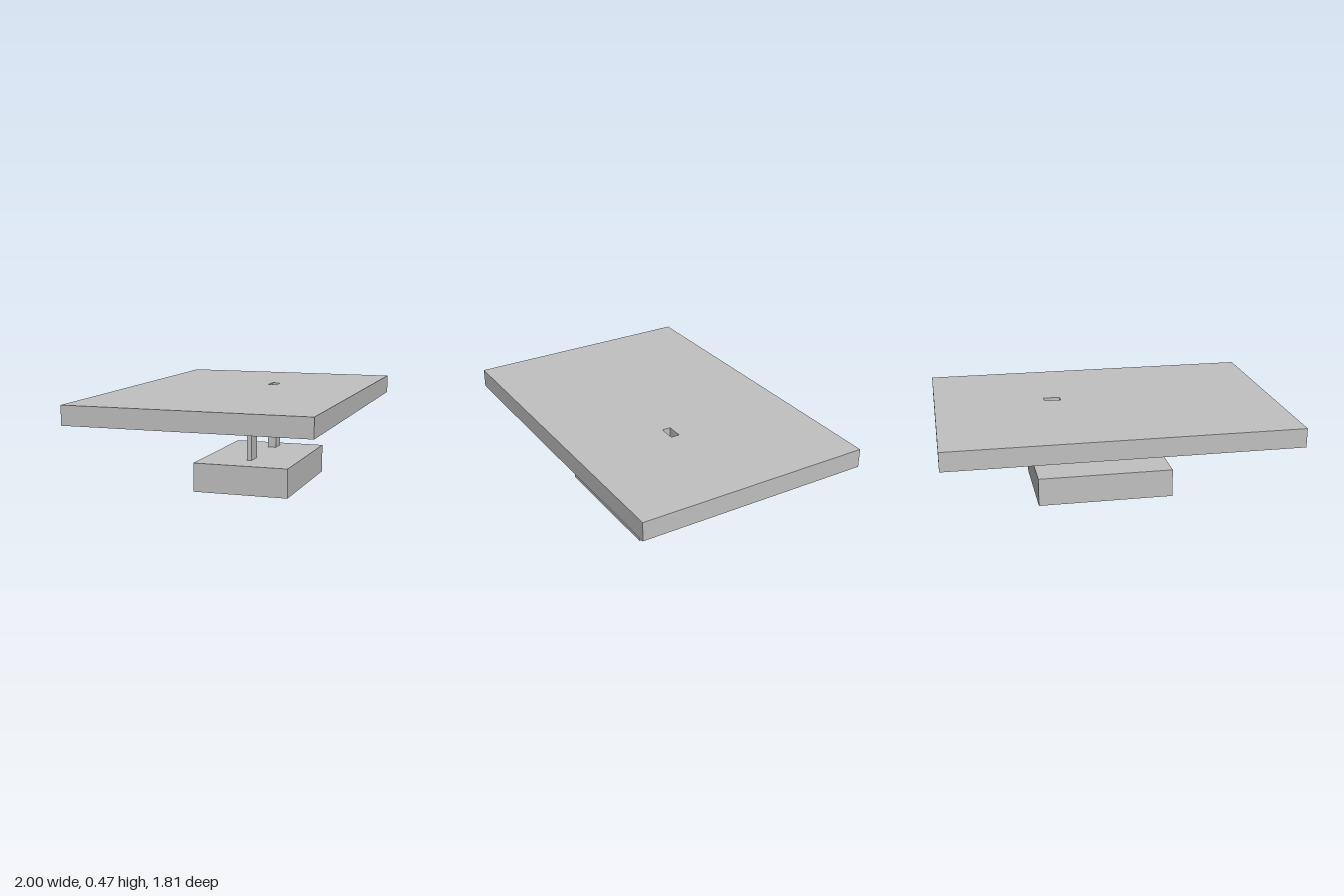
import * as THREE from 'three';

// Rectangle outline centred on the origin, or at (cx, cy) for holes
function rectPath(path, w, d, cx = 0, cy = 0) {
  path.moveTo(cx - w / 2, cy - d / 2);
  path.lineTo(cx + w / 2, cy - d / 2);
  path.lineTo(cx + w / 2, cy + d / 2);
  path.lineTo(cx - w / 2, cy + d / 2);
  path.closePath();
  return path;
}

// Horizontal slab with holes, its underside at y = 0
function slab(w, d, h, holes) {
  const shape = rectPath(new THREE.Shape(), w, d);
  shape.holes.push(...holes);
  const geo = new THREE.ExtrudeGeometry(shape, { depth: h, bevelEnabled: false, curveSegments: 16 });
  return geo.rotateX(-Math.PI / 2);
}

export function createModel() {
  const grey = new THREE.MeshStandardMaterial({ color: 0xc0c0c0 });
  grey.name = 'grey';

  const model = new THREE.Group();
  model.name = 'raisedPlate';
  const turned = new THREE.Group();
  turned.name = 'turnedAssembly';
  turned.rotation.y = Math.PI / 6;
  model.add(turned);

  const add = (name, geo, x, y, z) => {
    const mesh = new THREE.Mesh(geo, grey);
    mesh.name = name;
    mesh.position.set(x, y, z);
    turned.add(mesh);
  };

  const baseY = 0.14, plateY = 0.376, plateTop = 0.467;
  const baseW = 0.669, baseD = 0.467, baseX = 0.022, rowZ = 0.081;
  const socketDepth = 0.045;
  const slotPost = { name: 'thickPost', x: 0.252, w: 0.08, d: 0.042 };
  const plainPost = { name: 'thinPost', x: -0.127, w: 0.084, d: 0.024 };

  // Top plate with a slot above the thick post
  const slot = rectPath(new THREE.Path(), slotPost.w, slotPost.d, slotPost.x, -rowZ);
  add('topPlate', slab(1.654, 1.135, plateTop - plateY, [slot]), 0, plateY, 0);

  // Two posts between base and plate
  for (const p of [slotPost, plainPost]) {
    const h = plateY - baseY;
    add(p.name, new THREE.BoxGeometry(p.w, h, p.d), p.x, baseY + h / 2, rowZ);
  }

  // Base: underside layer with a 3 by 2 grid of round sockets, closed by a solid layer
  const sockets = [];
  for (const i of [-1, 0, 1]) {
    for (const j of [-0.5, 0.5]) {
      sockets.push(new THREE.Path().absarc(i * baseW / 3, j * baseD / 2, 0.047, 0, Math.PI * 2));
    }
  }
  add('baseSocketLayer', slab(baseW, baseD, socketDepth, sockets), baseX, 0, rowZ);
  add('baseBody', slab(baseW, baseD, baseY - socketDepth, []), baseX, socketDepth, rowZ);

  return model;
}
